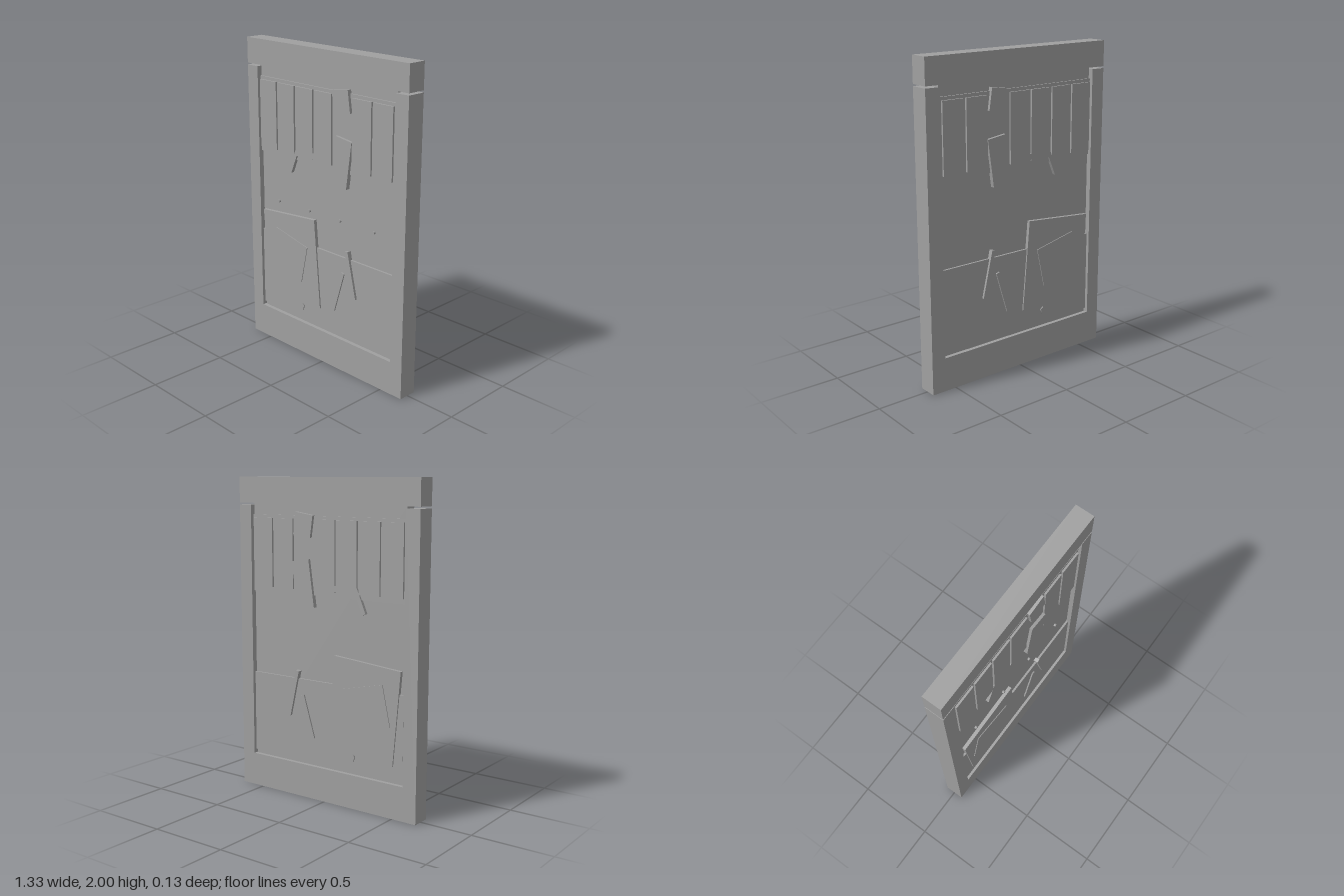
import * as THREE from 'three';

const grey = new THREE.MeshStandardMaterial({ color: 0xa0a0a0 });
grey.name = 'plain grey';

export function createModel() {
  const model = new THREE.Group();
  model.name = 'boardedPanel';

  // Slab centred on z = 0, so it shows equally on front and back
  function slab(name, x, y, w, h, halfDepth, degrees = 0) {
    const mesh = new THREE.Mesh(new THREE.BoxGeometry(w, h, halfDepth * 2), grey);
    mesh.name = name;
    mesh.position.set(x, y, 0);
    mesh.rotation.z = THREE.MathUtils.degToRad(degrees);
    model.add(mesh);
    return mesh;
  }

  // Outer frame: lintel, and a U of posts and sill
  slab('lintel', 0, 1.92, 1.33, 0.16, 0.06);
  const u = new THREE.Shape();
  [[-0.665, 0], [0.665, 0], [0.665, 1.828], [0.573, 1.828], [0.573, 0.213],
    [-0.573, 0.213], [-0.573, 1.828], [-0.665, 1.828]]
    .forEach(([x, y], i) => (i ? u.lineTo(x, y) : u.moveTo(x, y)));
  const frame = new THREE.Mesh(new THREE.ExtrudeGeometry(u, { depth: 0.12, bevelEnabled: false }), grey);
  frame.name = 'postsAndSill';
  frame.position.z = -0.06;
  model.add(frame);

  // Recessed panel with thicker lower and upper plates
  slab('recessedPanel', 0, 1.027, 1.13, 1.63, 0.035);
  slab('lowerPlate', 0, 0.5, 1.13, 0.52, 0.048);
  slab('upperPlate', 0, 1.53, 1.13, 0.48, 0.045);

  // Row of upright planks, with one missing
  for (const x of [-0.483, -0.323, -0.161, -0.001, 0.316, 0.479]) {
    slab('plank', x, 1.535, 0.148, 0.43, 0.057);
  }

  // The missing plank, broken in two
  slab('brokenPlankTop', 0.158, 1.716, 0.13, 0.135, 0.063, 8.5);
  slab('brokenPlankBottom', 0.16, 1.355, 0.13, 0.295, 0.063, -8);

  // Splinters
  slab('upperSplinter', -0.257, 1.28, 0.024, 0.16, 0.0565, -23);
  slab('shortSplinter', -0.08, 1.343, 0.024, 0.036, 0.0565);
  slab('rightSplinter', 0.241, 0.665, 0.024, 0.3, 0.063, 13);
  slab('middleSplinter', 0.131, 0.525, 0.024, 0.28, 0.057, -17);

  // Leaning patch boards
  slab('largePatch', -0.287, 0.63, 0.475, 0.58, 0.057, 4.9);
  slab('smallPatch', -0.308, 0.65, 0.297, 0.255, 0.062, -12.5);

  // Five-sided stud through the panel
  const stud = new THREE.Mesh(new THREE.CylinderGeometry(0.028, 0.028, 0.112, 5), grey);
  stud.name = 'stud';
  stud.rotation.x = -Math.PI / 2;
  stud.position.set(-0.2, 0.323, 0);
  model.add(stud);

  // Row of nails on the front
  for (const x of [-0.413, -0.135, 0.13, 0.41]) {
    const nail = new THREE.Mesh(new THREE.CylinderGeometry(0.01, 0.01, 0.02, 8), grey);
    nail.name = 'nail';
    nail.rotation.x = Math.PI / 2;
    nail.position.set(x, 0.982, 0.038);
    model.add(nail);
  }
  return model;
}
